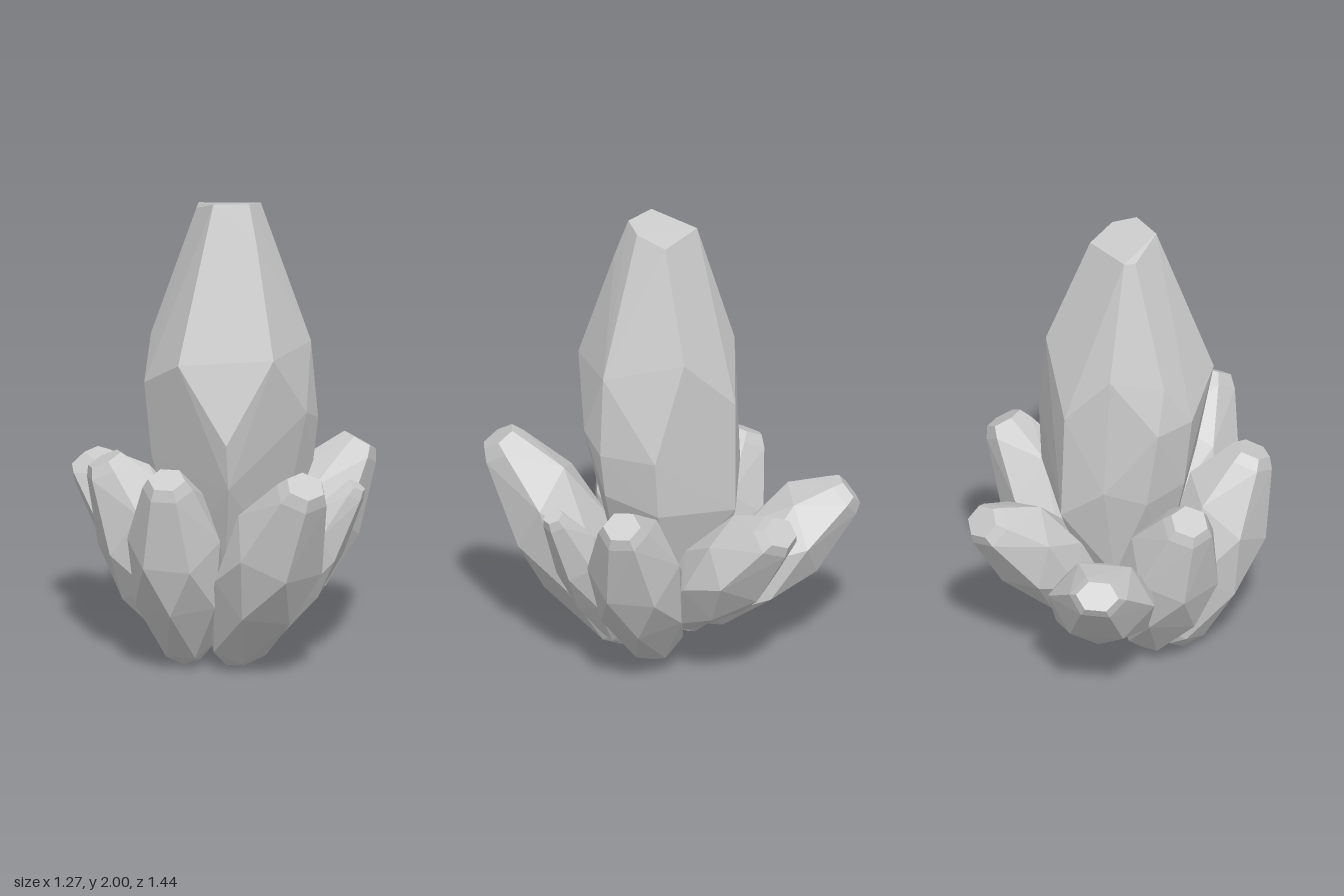
import * as THREE from 'three';
import { ConvexGeometry } from 'three/addons/geometries/ConvexGeometry.js';

const material = new THREE.MeshStandardMaterial({ color: 0xcccccc, flatShading: true });
const vec = (p) => new THREE.Vector3(...p);

function hullMesh(name, points) {
  const mesh = new THREE.Mesh(new ConvexGeometry(points), material);
  mesh.name = name;
  return mesh;
}

// Rings along the shaft: position, radius, twist in half facets, stagger of the corners, lean of the ring
const PROFILE = [
  [0.0, 0.36, 0, 0, 0], [0.07, 0.62, 1, 0, 0], [0.41, 0.99, 0, 0.03, 0.06],
  [0.68, 1.0, 1, 0.03, 0.08], [0.95, 0.54, 1, 0, 0], [1.0, 0.4, 1, 0, 0],
];

// Faceted crystal from base to tip; width is horizontal, depth lies across it
function crystal({ name, base, tip, width, depth, turn }) {
  const sides = 6;
  const a = vec(base), b = vec(tip);
  const axis = b.clone().sub(a).normalize();
  const side = new THREE.Vector3(-axis.z, 0, axis.x).normalize();
  const up = new THREE.Vector3().crossVectors(side, axis);
  const points = [];
  PROFILE.forEach(([t, r, twist, stagger, lean], ring) => {
    for (let i = 0; i < sides; i++) {
      const angle = ((i + twist / 2) / sides) * Math.PI * 2 + turn;
      // The upper side bulges nearer the tip, the underside nearer the root
      const shift = stagger * Math.sin(i * 2.4 + turn * 5 + ring) + lean * Math.sin(angle);
      points.push(a.clone().lerp(b, t + shift)
        .addScaledVector(side, Math.cos(angle) * r * width)
        .addScaledVector(up, Math.sin(angle) * r * depth));
    }
  });
  return hullMesh(name, points);
}

// Corners of the tall centre crystal, from the cap down to the root
const MAIN = [
  [-0.05, 2.0, 0.13], [0.1, 2.0, 0.13], [0.15, 1.98, 0.04], [0.12, 1.94, -0.09], [-0.11, 1.95, -0.07],
  [0.13, 1.84, 0.18], [-0.12, 1.94, -0.02],
  [0.2, 1.37, 0.32], [-0.2, 1.35, 0.32], [0.36, 1.38, 0.05], [0.2, 1.48, -0.26],
  [-0.31, 1.4, 0.0], [-0.2, 1.45, -0.2],
  [0, 1.02, 0.4], [-0.34, 1.22, 0.12], [-0.34, 1.2, -0.05], [0.34, 1.1, 0.17],
  [0.39, 1.04, 0.04], [0.33, 1.05, -0.21], [-0.05, 1.23, -0.33],
  [0.01, 0.82, 0.37], [0.37, 0.85, 0.03], [0.31, 0.8, -0.21], [-0.04, 0.75, -0.34],
  [-0.31, 0.9, 0.1], [-0.3, 0.85, -0.08], [-0.2, 0.9, -0.23],
  [0.22, 0.45, 0.08], [0.18, 0.45, -0.15], [-0.19, 0.45, 0.08], [-0.16, 0.45, -0.15], [0, 0.45, 0.24],
  [0.06, 0.12, 0.06], [-0.06, 0.12, 0.06], [0, 0.12, -0.06],
];

// Ring of smaller crystals leaning outwards
const SMALL = [
  { name: 'frontLeftCrystal', base: [0.03, 0.04, 0.16], tip: [0.33, 0.92, 0.65], width: 0.22, depth: 0.2, turn: 0.3 },
  { name: 'frontRightCrystal', base: [-0.16, 0.035, 0.13], tip: [-0.25, 0.9, 0.48], width: 0.2, depth: 0.2, turn: 0.5 },
  { name: 'rightCrystal', base: [-0.12, 0.06, 0.04], tip: [-0.505, 0.85, 0.0], width: 0.205, depth: 0.2, turn: 0.2 },
  { name: 'backRightCrystal', base: [-0.05, 0.2, -0.11], tip: [-0.58, 0.7, -0.51], width: 0.225, depth: 0.17, turn: 0.6 },
  { name: 'backCrystal', base: [0.05, 0.22, -0.06], tip: [0.06, 0.78, -0.67], width: 0.215, depth: 0.18, turn: 0.1 },
  { name: 'leftCrystal', base: [0.1, 0.07, -0.02], tip: [0.57, 0.86, -0.23], width: 0.2, depth: 0.19, turn: 0.4 },
  { name: 'smallLeftCrystal', base: [0.15, 0.09, 0.12], tip: [0.55, 0.78, 0.165], width: 0.105, depth: 0.11, turn: 0.7 },
];

export function createModel() {
  const group = new THREE.Group();
  group.name = 'crystalCluster';
  group.add(hullMesh('mainCrystal', MAIN.map(vec)));
  for (const spec of SMALL) group.add(crystal(spec));
  return group;
}
